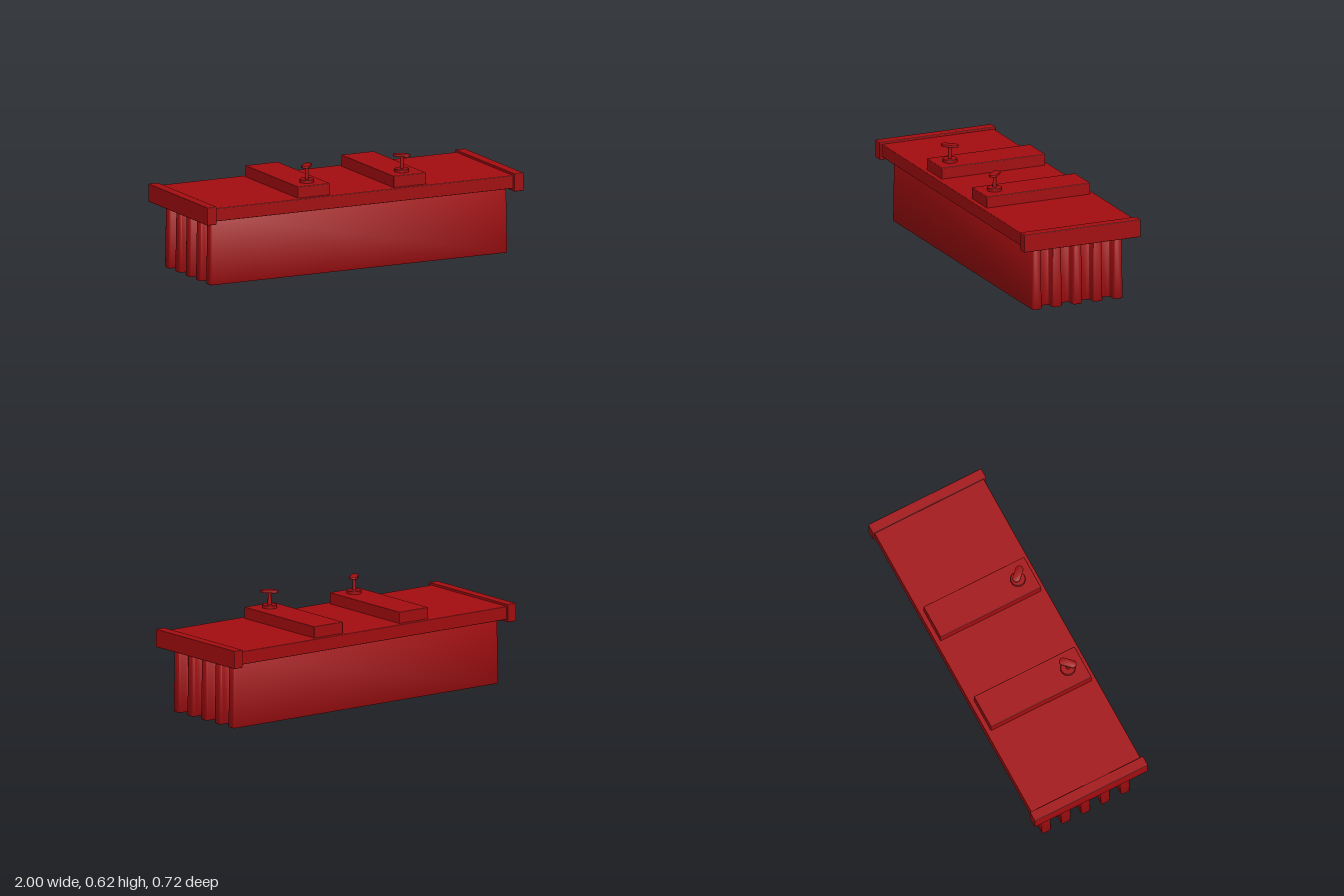
import * as THREE from 'three';
import { RoundedBoxGeometry } from 'three/addons/geometries/RoundedBoxGeometry.js';
import { toCreasedNormals } from 'three/addons/utils/BufferGeometryUtils.js';

const red = new THREE.MeshStandardMaterial({ color: 0xa30d10 });

function part(parent, name, geometry, x = 0, y = 0, z = 0) {
  const mesh = new THREE.Mesh(geometry, red);
  mesh.name = name;
  mesh.position.set(x, y, z);
  parent.add(mesh);
  return mesh;
}

// Box given by its extents, with slightly softened edges
function box(parent, name, [x0, x1], [y0, y1], [z0, z1], radius = 0.004) {
  const geometry = new RoundedBoxGeometry(x1 - x0, y1 - y0, z1 - z0, 2, radius);
  return part(parent, name, geometry, (x0 + x1) / 2, (y0 + y1) / 2, (z0 + z1) / 2);
}

// Polygon outline with every corner rounded
function roundedShape(points, r) {
  const shape = new THREE.Shape();
  const n = points.length;
  points.forEach((p, i) => {
    const toward = (q) => p.clone().add(q.clone().sub(p).setLength(r));
    const a = toward(points[(i + n - 1) % n]);
    const b = toward(points[(i + 1) % n]);
    if (i === 0) shape.moveTo(a.x, a.y);
    else shape.lineTo(a.x, a.y);
    shape.quadraticCurveTo(p.x, p.y, b.x, b.y);
  });
  shape.closePath();
  return shape;
}

// Tub with five upright ribs at each end, drafted wider toward the bottom
function tubGeometry() {
  const tip = 0.935, floor = 0.875, half = 0.025, pitch = 0.125, height = 0.4;
  const end = [];
  for (let i = -2; i <= 2; i++) {
    const c = i * pitch;
    if (i > -2) end.push([floor, c - half]);
    end.push([tip, c - half], [tip, c + half]);
    if (i < 2) end.push([floor, c + half]);
  }
  const outline = [...end, ...end.map(([x, z]) => [-x, -z])].map(([x, z]) => new THREE.Vector2(x, z));
  const bevel = 0.005;
  const geometry = new THREE.ExtrudeGeometry(roundedShape(outline, 0.014), {
    depth: height - 2 * bevel, bevelEnabled: true, bevelSize: bevel, bevelOffset: -bevel,
    bevelThickness: bevel, bevelSegments: 2, curveSegments: 5,
  });
  geometry.rotateX(-Math.PI / 2).translate(0, bevel, 0);
  const pos = geometry.attributes.position;
  for (let i = 0; i < pos.count; i++) {
    const x = pos.getX(i), z = pos.getZ(i);
    const draft = 0.005 * (1 - pos.getY(i) / height);
    const offset = z - Math.round(z / pitch) * pitch;
    pos.setX(i, x + Math.sign(x) * draft);
    pos.setZ(i, z + (offset / half) * draft);
  }
  return toCreasedNormals(geometry, 0.7);
}

// Flat wing with rounded ends for the cap handle
function wingGeometry(length, width, thickness) {
  const r = width / 2, s = length / 2 - r;
  const shape = new THREE.Shape();
  shape.moveTo(-s, -r);
  shape.lineTo(s, -r);
  shape.absarc(s, 0, r, -Math.PI / 2, Math.PI / 2);
  shape.lineTo(-s, r);
  shape.absarc(-s, 0, r, Math.PI / 2, Math.PI * 1.5);
  const b = 0.002;
  const geometry = new THREE.ExtrudeGeometry(shape, {
    depth: thickness - 2 * b, bevelSize: b, bevelOffset: -b, bevelThickness: b, bevelSegments: 2, curveSegments: 12,
  });
  geometry.rotateX(-Math.PI / 2).translate(0, b, 0);
  return toCreasedNormals(geometry, 0.7);
}

export function createModel() {
  const model = new THREE.Group();
  model.name = 'ribbedBox';

  part(model, 'ribbedTub', tubGeometry());
  box(model, 'lid', [-0.945, 0.945], [0.38, 0.455], [-0.35, 0.343]);

  for (const side of [1, -1]) {
    const word = side > 0 ? 'left' : 'right';
    const span = (a, b) => (side > 0 ? [a, b] : [-b, -a]);

    // Raised bar along each end of the lid
    box(model, word + 'EndBar', span(0.94, 1), [0.365, 0.468], [-0.36, 0.358]);

    // Raised panel with its winged cap
    box(model, word + 'Panel', span(0.2, 0.405), [0.445, 0.52], [-0.323, 0.315]);
    const cap = new THREE.Group();
    cap.name = word + 'Cap';
    cap.position.set(side * 0.3, 0.518, 0.22);
    model.add(cap);
    const base = [[0, 0], [0.042, 0], [0.042, 0.018], [0.04, 0.02], [0, 0.02]];
    part(cap, 'capBase', toCreasedNormals(
      new THREE.LatheGeometry(base.map(([x, y]) => new THREE.Vector2(x, y)), 32), 0.6));
    part(cap, 'capStem', new THREE.CylinderGeometry(0.009, 0.011, 0.075, 20), 0, 0.055, 0);
    part(cap, 'capWing', wingGeometry(0.1, 0.045, 0.014), 0, 0.088, 0).rotation.y = -side * Math.PI / 4;
  }
  return model;
}
